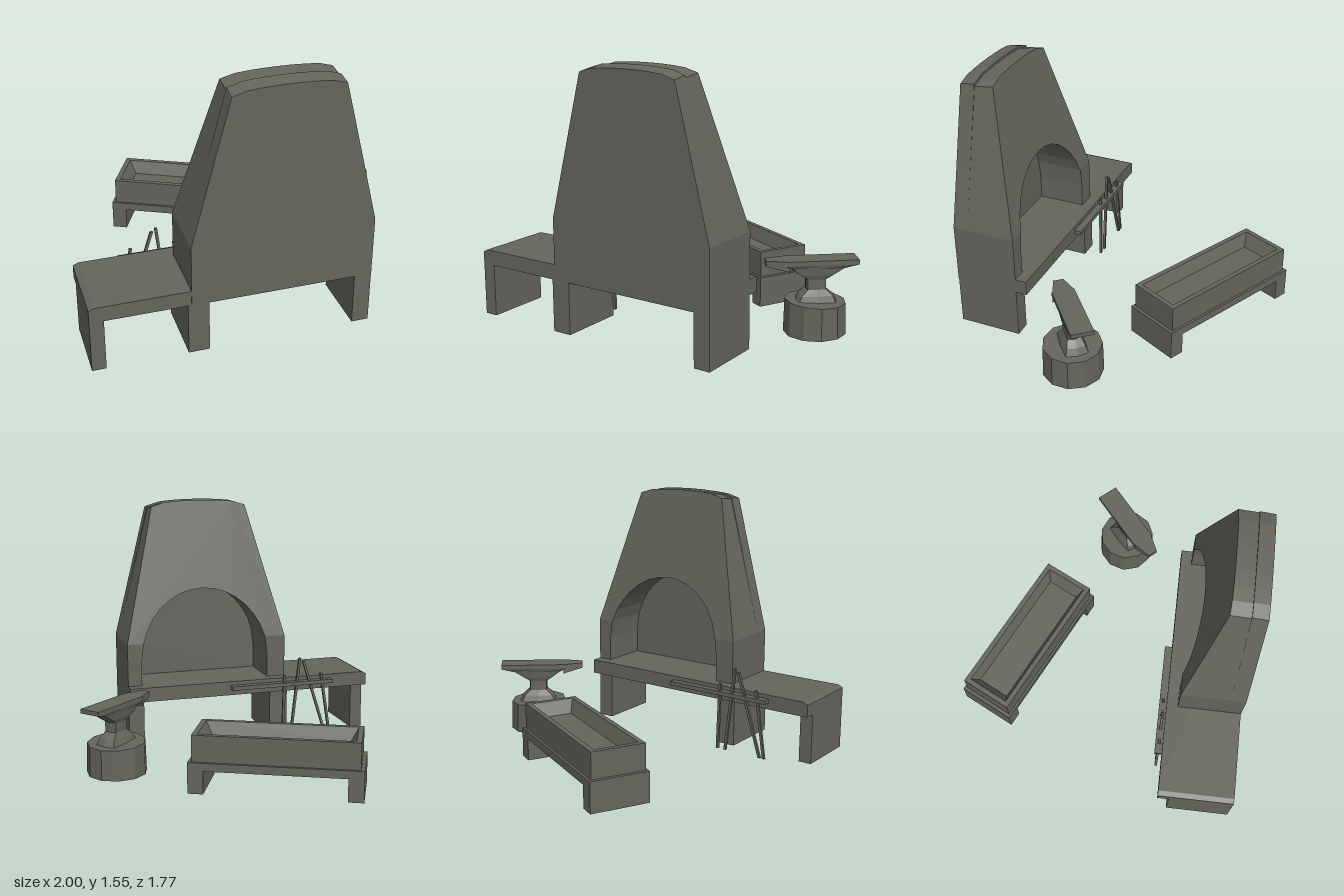
import * as THREE from 'three';

const stone = new THREE.MeshStandardMaterial({ color: 0x65645c, flatShading: true });
stone.name = 'dark stone';

function add(parent, name, geometry) {
  const mesh = new THREE.Mesh(geometry, stone);
  mesh.name = name;
  parent.add(mesh);
  return mesh;
}

// Box given by its limits on each axis
function box(parent, name, x0, x1, y0, y1, z0, z1) {
  const g = new THREE.BoxGeometry(x1 - x0, y1 - y0, z1 - z0);
  g.translate((x0 + x1) / 2, (y0 + y1) / 2, (z0 + z1) / 2);
  return add(parent, name, g);
}

// Move every vertex by a rule
function warp(g, rule) {
  const p = g.attributes.position;
  const v = new THREE.Vector3();
  for (let i = 0; i < p.count; i++) {
    rule(v.fromBufferAttribute(p, i));
    p.setXYZ(i, v.x, v.y, v.z);
  }
  g.computeVertexNormals();
  return g;
}

// Extrude an xy outline from z0 to z1; z0 may depend on y
function slab(points, z0, z1) {
  const shape = new THREE.Shape(points.map(([x, y]) => new THREE.Vector2(x, y)));
  const g = new THREE.ExtrudeGeometry(shape, { depth: 1, bevelEnabled: false });
  return warp(g, (v) => {
    const front = typeof z0 === 'function' ? z0(v.y) : z0;
    if (v.z > 0.5 && v.y > 1.5) v.y -= 0.015;
    v.z = front + (z1 - front) * v.z;
  });
}

function makeForge() {
  const forge = new THREE.Group();
  forge.name = 'forge';

  // Hearth table with a chamfered end, on three legs
  add(forge, 'hearthTable', slab([[-1, 0.31], [0.61, 0.31], [0.61, 0.4], [-0.97, 0.4], [-1, 0.385]], 0.42, 0.88));
  for (const [a, b] of [[-1, -0.92], [-0.46, -0.34], [0.51, 0.61]]) {
    box(forge, 'hearthLeg', a, b, 0, 0.315, 0.49, 0.88);
  }

  // Arched fire opening
  const cx = 0.1, rx = 0.42, spring = 0.55, ry = 0.45, shoulder = 0.67;
  const start = Math.asin((shoulder - spring) / ry);
  const arch = [];
  for (let i = 0; i <= 14; i++) {
    const a = Math.PI - start - (Math.PI - 2 * start) * i / 14;
    arch.push([cx + rx * Math.cos(a), spring + ry * Math.sin(a)]);
  }
  const crown = [];
  for (let i = 0; i <= 8; i++) {
    const t = i / 8;
    crown.push([0.4 - 0.62 * t, 1.52 + 0.035 * Math.sqrt(1 - (2 * t - 1) ** 2)]);
  }

  // Jambs either side of the fire
  for (const [outer, inner, end] of [[-0.44, cx - rx, arch[0]], [0.61, cx + rx, arch[14]]]) {
    add(forge, 'jamb', slab([[outer, 0.35], [inner, 0.35], [inner, spring], end, [outer, shoulder]], 0.49, 0.8));
  }

  // Tapering hood over the arch, and the wall behind it
  const slope = (y) => 0.49 + 0.19 * (y - shoulder) / 0.885;
  add(forge, 'hood', slab([[-0.44, shoulder], ...arch, [0.61, shoulder], ...crown], slope, 0.8));
  add(forge, 'chimneyBack', slab([[-0.44, 0.31], [0.61, 0.31], [0.61, shoulder], ...crown, [-0.44, shoulder]], 0.79, 0.882));

  // Tool rail and leaning rods
  box(forge, 'toolRail', -0.74, -0.05, 0.35, 0.375, 0.375, 0.422);
  const rods = [[-0.73, -0.665, 0.42], [-0.7, -0.54, 0.51], [-0.455, -0.515, 0.53], [-0.4, -0.41, 0.42]];
  for (const [x0, x1, top] of rods) {
    const g = new THREE.BoxGeometry(0.016, top, 0.016);
    g.translate(0, top / 2, 0);
    add(forge, 'toolRod', warp(g, (v) => { v.x += x0 + (x1 - x0) * v.y / top; }))
      .position.z = 0.398;
  }
  return forge;
}

function makeTrough() {
  const trough = new THREE.Group();
  trough.name = 'quenchTrough';
  trough.position.set(-0.055, 0, -0.505);
  trough.rotation.y = -0.459;

  // Bench
  box(trough, 'benchTop', -0.496, 0.496, 0.135, 0.183, -0.178, 0.178);
  for (const s of [-1, 1]) {
    box(trough, 'benchLeg', s * 0.451 - 0.045, s * 0.451 + 0.045, 0, 0.14, -0.178, 0.178);
  }

  // Basin floor and rim with sloping inner walls
  box(trough, 'basinFloor', -0.475, 0.475, 0.183, 0.26, -0.163, 0.163);
  const rect = (path, x, y) => path.moveTo(-x, -y).lineTo(x, -y).lineTo(x, y).lineTo(-x, y).lineTo(-x, -y);
  const rim = rect(new THREE.Shape(), 0.475, 0.163);
  rim.holes.push(rect(new THREE.Path(), 0.445, 0.133));
  const g = new THREE.ExtrudeGeometry(rim, { depth: 0.08, bevelEnabled: false });
  warp(g, (v) => {
    if (v.z < 0.01 && Math.abs(v.x) < 0.46) {
      v.x *= 0.9;
      v.y *= 0.76;
    }
  });
  g.rotateX(-Math.PI / 2);
  add(trough, 'basinRim', g).position.y = 0.26;
  return trough;
}

function makeAnvil() {
  const anvil = new THREE.Group();
  anvil.name = 'anvil';
  anvil.position.set(0.775, 0, 0.045);
  anvil.rotation.y = 0.71;

  // Slightly uneven stump
  const stump = new THREE.CylinderGeometry(0.175, 0.18, 0.19, 11);
  stump.translate(0, 0.095, 0);
  add(anvil, 'stump', warp(stump, (v) => { if (v.y > 0.1) v.y -= 0.05 * v.x; }));

  // Body sections from top to foot: height, heel end, horn end, half width
  const sections = [
    [0.435, 0.237, -0.18, 0.067], [0.408, 0.235, -0.18, 0.067],
    [0.385, 0.17, -0.16, 0.06], [0.345, 0.1, -0.1, 0.055],
    [0.32, 0.058, -0.058, 0.046], [0.26, 0.058, -0.058, 0.046],
    [0.225, 0.1, -0.1, 0.062], [0.185, 0.12, -0.12, 0.075],
  ];
  const n = sections.length - 1;
  const body = new THREE.CylinderGeometry(1, 1, 1, 8, n);
  warp(body, (v) => {
    const row = Math.round((0.5 - v.y) * n);
    const [y, heel, horn, w] = sections[row];
    const k = row < 2 ? 1.42 : 1.25;
    const u = THREE.MathUtils.clamp(v.x * k, -1, 1);
    const s = THREE.MathUtils.clamp(v.z * k, -1, 1);
    v.set((heel + horn) / 2 + u * (heel - horn) / 2, y, s * w);
  });
  add(anvil, 'anvilBody', body);

  // Tapered horn
  const horn = new THREE.BoxGeometry(0.125, 0.06, 0.134);
  horn.translate(-0.2275, 0.405, 0);
  add(anvil, 'horn', warp(horn, (v) => {
    if (v.x < -0.25) {
      v.z *= 0.45;
      if (v.y < 0.4) v.y = 0.403;
    }
  }));
  return anvil;
}

export function createModel() {
  const model = new THREE.Group();
  model.name = 'smithy';
  model.add(makeForge(), makeTrough(), makeAnvil());
  return model;
}
